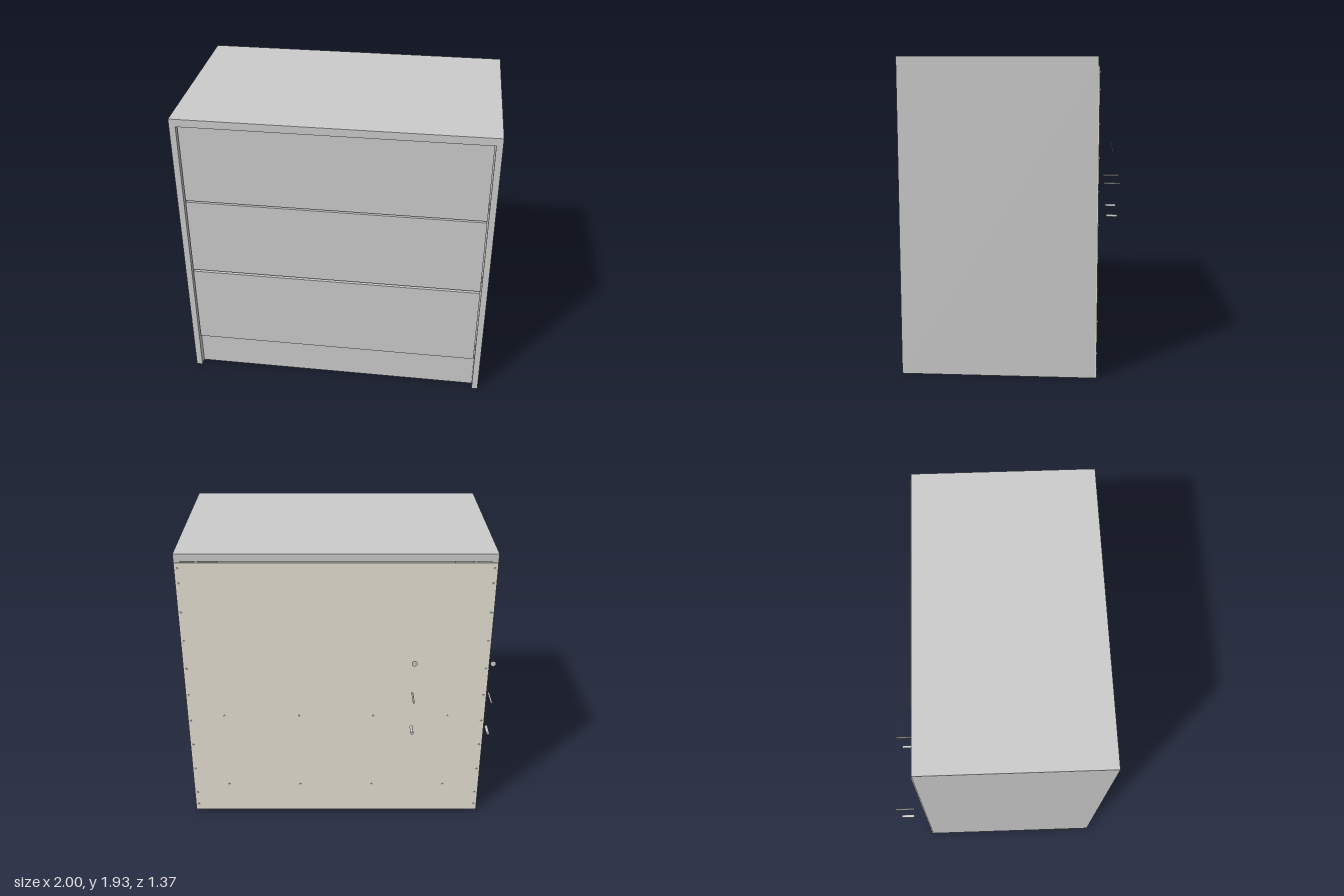
import * as THREE from 'three';

const grey = new THREE.MeshStandardMaterial({ color: 0xcccccc });
const beige = new THREE.MeshStandardMaterial({ color: 0xe8e2d4 });

export function createModel() {
  const root = new THREE.Group();

  // Box given by its min/max extents on each axis
  function box(name, [x0, x1], [y0, y1], [z0, z1], material = grey, parent = root) {
    const mesh = new THREE.Mesh(new THREE.BoxGeometry(x1 - x0, y1 - y0, z1 - z0), material);
    mesh.position.set((x0 + x1) / 2, (y0 + y1) / 2, (z0 + z1) / 2);
    mesh.name = name;
    parent.add(mesh);
    return mesh;
  }

  // Cylinder lying along z
  function rod(name, x, y, z, radius, length, parent = root) {
    const mesh = new THREE.Mesh(new THREE.CylinderGeometry(radius, radius, length, 20), grey);
    mesh.rotation.x = Math.PI / 2;
    mesh.position.set(x, y, z);
    mesh.name = name;
    parent.add(mesh);
  }

  const left = 0.997, right = -0.983, t = 0.04;
  const inL = left - t, inR = right + t;
  const back = -0.5, front = 0.685;

  // Carcass
  box('topBoard', [right, left], [1.883, 1.933], [back, front]);
  box('rightSide', [right, inR], [0, 1.883], [back, front]);
  box('leftSide', [inL, left], [0, 1.883], [back, front]);
  box('bottomBoard', [inR, inL], [0.2, 0.235], [back, 0.6]);
  box('plinth', [inR, inL], [0, 0.24], [0.6, 0.635]);
  box('backPanel', [right + 0.004, left - 0.004], [0, 1.876], [-0.507, back], beige);

  // Corner brackets behind the plinth
  for (const [name, x, s] of [['rightBracket', inR, 1], ['leftBracket', inL, -1]]) {
    const span = (w) => [Math.min(x, x + s * w), Math.max(x, x + s * w)];
    const bracket = new THREE.Group();
    bracket.name = name;
    box('bracketAcross', span(0.09), [0.03, 0.18], [0.594, 0.6], grey, bracket);
    box('bracketAlong', span(0.006), [0.03, 0.18], [0.51, 0.6], grey, bracket);
    root.add(bracket);
  }

  // Drawers: a front board with an open box behind it, and side runners
  const gap = 0.006;
  for (const [y0, y1] of [[0.25, 0.806], [0.821, 1.345], [1.356, 1.876]]) {
    const drawer = new THREE.Group();
    drawer.name = 'drawer';
    const a = inR + 0.03, b = inL - 0.03, top = y1 - 0.12, z0 = -0.42, z1 = 0.63;
    box('drawerFront', [inR + gap, inL - gap], [y0, y1], [z1, 0.668], grey, drawer);
    box('drawerRightSide', [a, a + 0.03], [y0 + 0.02, top], [z0, z1], grey, drawer);
    box('drawerLeftSide', [b - 0.03, b], [y0 + 0.02, top], [z0, z1], grey, drawer);
    box('drawerBack', [a + 0.03, b - 0.03], [y0 + 0.02, top], [z0, z0 + 0.03], grey, drawer);
    box('drawerBottom', [a + 0.03, b - 0.03], [y0 + 0.03, y0 + 0.04], [z0 + 0.03, z1], beige, drawer);
    box('rightRunner', [inR, inR + 0.025], [y0 + 0.03, y0 + 0.1], [-0.4, 0.62], grey, drawer);
    box('leftRunner', [inL - 0.025, inL], [y0 + 0.03, y0 + 0.1], [-0.4, 0.62], grey, drawer);
    root.add(drawer);
  }

  // Nails holding the back panel
  const nails = new THREE.Group();
  nails.name = 'backNails';
  const columnHeights = [0.05, 0.15, 0.35, 0.55, 0.74, 0.94, 1.14, 1.34, 1.54, 1.74, 1.84];
  for (const y of columnHeights) {
    for (const x of [right + 0.02, left - 0.02]) rod('nail', x, y, -0.509, 0.007, 0.006, nails);
  }
  for (const y of [0.22, 0.78]) {
    for (const x of [-0.735, -0.24, 0.255, 0.75]) rod('nail', x, y, -0.509, 0.007, 0.006, nails);
  }
  root.add(nails);

  // Loose hardware behind the cabinet
  for (const x of [-0.983, -0.488]) {
    const hardware = new THREE.Group();
    hardware.name = 'looseHardware';
    rod('coverCap', x, 1.242, -0.625, 0.018, 0.003, hardware);
    rod('screw', x, 0.992, -0.625, 0.006, 0.125, hardware);
    rod('dowel', x, 0.746, -0.625, 0.01, 0.084, hardware);
    root.add(hardware);
  }

  return root;
}
